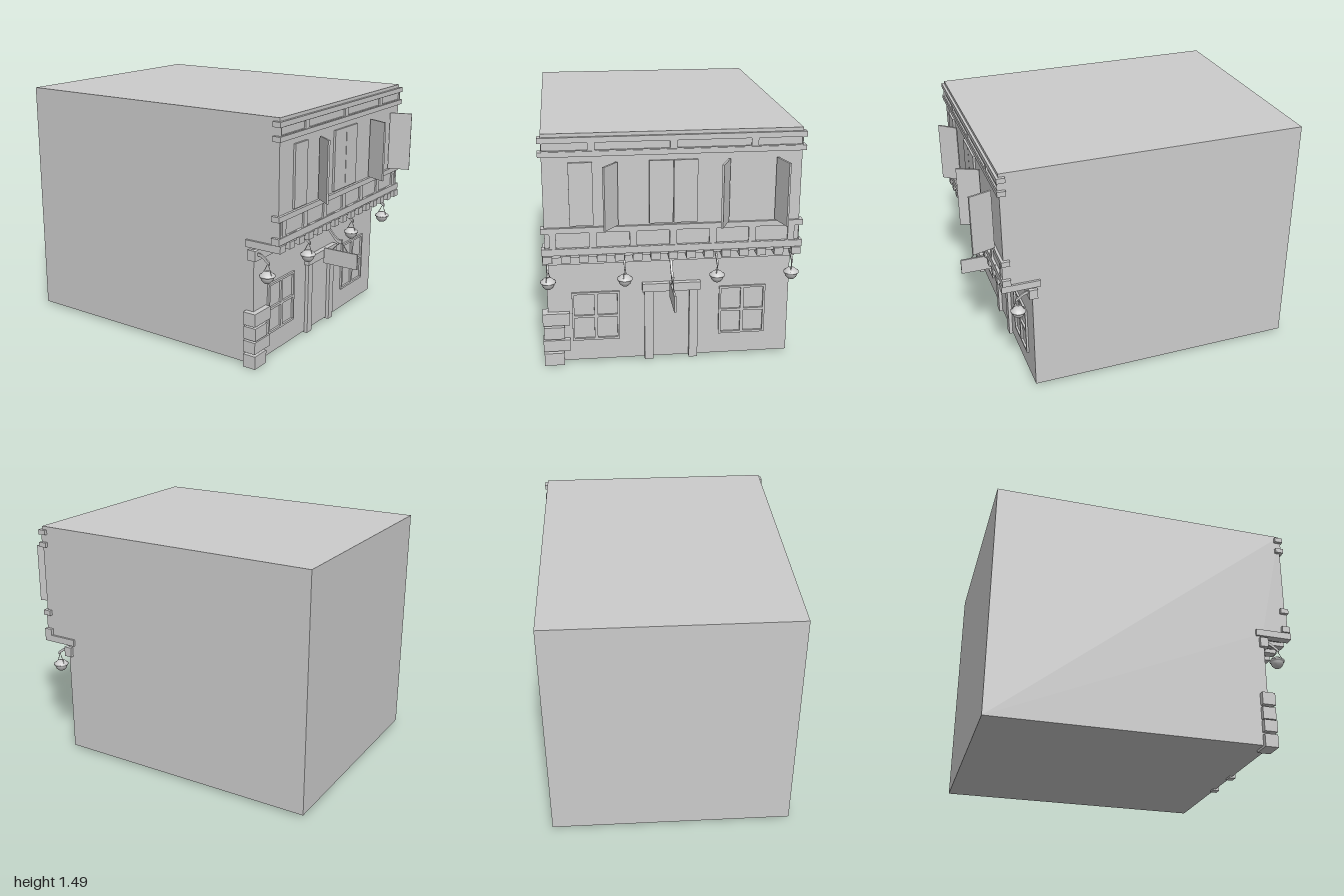
import * as THREE from 'three';

const mat = new THREE.MeshStandardMaterial({ color: 0xcccccc, side: THREE.DoubleSide });

export function createModel() {
  const root = new THREE.Group();

  function add(name, geometry, parent = root) {
    const mesh = new THREE.Mesh(geometry, mat);
    mesh.name = name;
    parent.add(mesh);
    return mesh;
  }
  // Box given by its limits on each axis
  function box(name, x0, x1, y0, y1, z0, z1, parent = root) {
    const mesh = add(name, new THREE.BoxGeometry(x1 - x0, y1 - y0, Math.abs(z1 - z0)), parent);
    mesh.position.set((x0 + x1) / 2, (y0 + y1) / 2, (z0 + z1) / 2);
    return mesh;
  }
  // Rectangle path with rounded corners
  function rect(path, u0, u1, v0, v1, r = 0) {
    path.moveTo(u0 + r, v0).lineTo(u1 - r, v0);
    if (r) path.quadraticCurveTo(u1, v0, u1, v0 + r);
    path.lineTo(u1, v1 - r);
    if (r) path.quadraticCurveTo(u1, v1, u1 - r, v1);
    path.lineTo(u0 + r, v1);
    if (r) path.quadraticCurveTo(u0, v1, u0, v1 - r);
    path.lineTo(u0, v0 + r);
    if (r) path.quadraticCurveTo(u0, v0, u0 + r, v0);
    return path;
  }
  // Pierced board lying on the facade, facing +x
  function board(name, x0, depth, outer, holes, r) {
    const shape = rect(new THREE.Shape(), ...outer);
    shape.holes = holes.map(h => rect(new THREE.Path(), ...h, r));
    const g = new THREE.ExtrudeGeometry(shape, { depth, bevelEnabled: false, curveSegments: 3 });
    const mesh = add(name, g.rotateY(Math.PI / 2));
    mesh.position.x = x0;
    return mesh;
  }
  // Straight rod between two points
  function rod(name, a, b, radius, parent) {
    const p = new THREE.Vector3(...a), q = new THREE.Vector3(...b);
    const mesh = add(name, new THREE.CylinderGeometry(radius, radius, p.distanceTo(q), 6), parent);
    mesh.position.copy(p).lerp(q, 0.5);
    mesh.quaternion.setFromUnitVectors(new THREE.Vector3(0, 1, 0), q.sub(p).normalize());
  }
  // Flat curved bracket: a stroke of even height along a curve in the xy plane
  function bracket(name, points, height, width, parent) {
    const curve = new THREE.SplineCurve(points.map(p => new THREE.Vector2(...p)));
    const pts = curve.getPoints(10);
    const shape = new THREE.Shape([
      ...pts.map(p => new THREE.Vector2(p.x, p.y - height / 2)),
      ...pts.reverse().map(p => new THREE.Vector2(p.x, p.y + height / 2)),
    ]);
    const g = new THREE.ExtrudeGeometry(shape, { depth: width, bevelEnabled: false });
    add(name, g.translate(0, 0, -width / 2), parent);
  }

  // House body with overhanging upper storey
  const profile = new THREE.Shape([[-1, 0.015], [0.69, 0.015], [0.69, 0.755], [0.85, 0.755], [0.85, 1.485], [-1, 1.485]]
    .map(p => new THREE.Vector2(...p)));
  add('houseBody', new THREE.ExtrudeGeometry(profile, { depth: 1.47, bevelEnabled: false }).translate(0, 0, -0.735));

  // Joists under the overhang
  for (let i = -7; i <= 7; i++) {
    const z = i * 0.1031;
    box('joist', 0.64, 0.872, 0.73, 0.772, z - 0.027, z + 0.027);
  }

  // Horizontal beams
  for (const [y0, y1] of [[0.775, 0.815], [0.908, 0.94], [1.355, 1.385], [1.435, 1.465]])
    box('upperBeam', 0.815, 0.866, y0, y1, -0.755, 0.755);
  box('lowerBeam', 0.66, 0.712, 0.655, 0.717, -0.755, 0.755);

  // Panelled bands between the beams
  const lowPanels = [[-0.735 + 0.001, -0.708, 0.816, 0.907], [0.708, 0.734, 0.816, 0.907]];
  for (let i = -3; i < 3; i++) lowPanels.push([i * 0.23 + 0.02, i * 0.23 + 0.21, 0.816, 0.907]);
  board('lowerPanelBand', 0.849, 0.011, [-0.735, 0.735, 0.812, 0.91], lowPanels, 0.01);
  const highPanels = [[-0.73, -0.48], [-0.44, -0.02], [0.02, 0.44], [0.48, 0.73]]
    .map(([a, b]) => [a, b, 1.389, 1.432]);
  board('upperPanelBand', 0.849, 0.011, [-0.735, 0.735, 1.384, 1.436], highPanels, 0.006);

  // Shutters: hinge z, tip x and z; the closed ones lie on the wall
  for (const [hinge, tipX, tipZ] of [[0.32, 0.965, 0.4], [-0.315, 0.99, -0.257], [-0.59, 0.998, -0.63]]) {
    const dx = tipX - 0.865, dz = tipZ - hinge;
    const shutter = add('openShutter', new THREE.BoxGeometry(Math.hypot(dx, dz), 0.37, 0.012));
    shutter.position.set(0.865 + dx / 2, 1.135, hinge + dz / 2);
    shutter.rotation.y = -Math.atan2(dz, dx);
  }
  for (const [z0, z1] of [[0.455, 0.59], [0.002, 0.138], [-0.138, -0.002]])
    box('closedShutter', 0.849, 0.863, 0.95, 1.32, z0, z1);

  // Ground floor windows, four panes each
  for (const side of [-1, 1]) {
    const panes = [];
    for (const [u0, u1] of [[-0.13, -0.01], [0.01, 0.13]])
      for (const [v0, v1] of [[0.163, 0.3], [0.315, 0.452]]) panes.push([u0, u1, v0, v1]);
    const frame = board('windowFrame', 0.689, 0.014, [-0.143, 0.143, 0.15, 0.465], panes, 0);
    frame.position.z = side * 0.447;
  }

  // Doorway
  const door = new THREE.Group();
  door.name = 'doorway';
  root.add(door);
  box('doorPost', 0.67, 0.712, 0.005, 0.46, 0.1, 0.153, door);
  box('doorPost', 0.67, 0.712, 0.005, 0.46, -0.173, -0.12, door);
  box('doorLintel', 0.67, 0.722, 0.46, 0.512, -0.186, 0.165, door);

  // Corner stones
  for (const [y0, y1, z0, z1] of [[0, 0.08, 0.645, 0.765], [0.095, 0.167, 0.605, 0.768],
    [0.175, 0.252, 0.638, 0.762], [0.265, 0.343, 0.605, 0.768]])
    box('cornerStone', 0.64, 0.723, y0, y1, z0, z1);

  // Hanging lanterns
  const bowl = [[0, 0.535], [0.02, 0.536], [0.033, 0.549], [0.039, 0.565], [0.039, 0.573], [0.046, 0.574],
    [0.046, 0.582], [0.036, 0.588], [0.024, 0.6], [0, 0.604]].map(p => new THREE.Vector2(...p));
  for (const z of [-0.725, -0.275, 0.275, 0.725]) {
    const lantern = new THREE.Group();
    lantern.name = 'lantern';
    lantern.position.z = z;
    root.add(lantern);
    bracket('lanternArm', [[0.69, 0.692], [0.73, 0.69], [0.765, 0.668], [0.79, 0.65]], 0.018, 0.01, lantern);
    add('lanternBowl', new THREE.LatheGeometry(bowl, 16), lantern).position.x = 0.775;
    for (const s of [-1, 1])
      rod('lanternCord', [0.779, 0.652, 0], [0.775 + s * 0.036, 0.586, s * 0.012], 0.002, lantern);
  }

  // Hanging sign
  const sign = new THREE.Group();
  sign.name = 'hangingSign';
  root.add(sign);
  bracket('signArm', [[0.69, 0.692], [0.74, 0.685], [0.79, 0.635], [0.825, 0.6], [0.858, 0.598]], 0.022, 0.014, sign);
  box('signBoard', 0.735, 0.967, 0.435, 0.535, -0.006, 0.006, sign);
  for (const x of [0.79, 0.9]) rod('signCord', [0.85, 0.597, 0], [x, 0.533, 0], 0.003, sign);

  return root;
}
